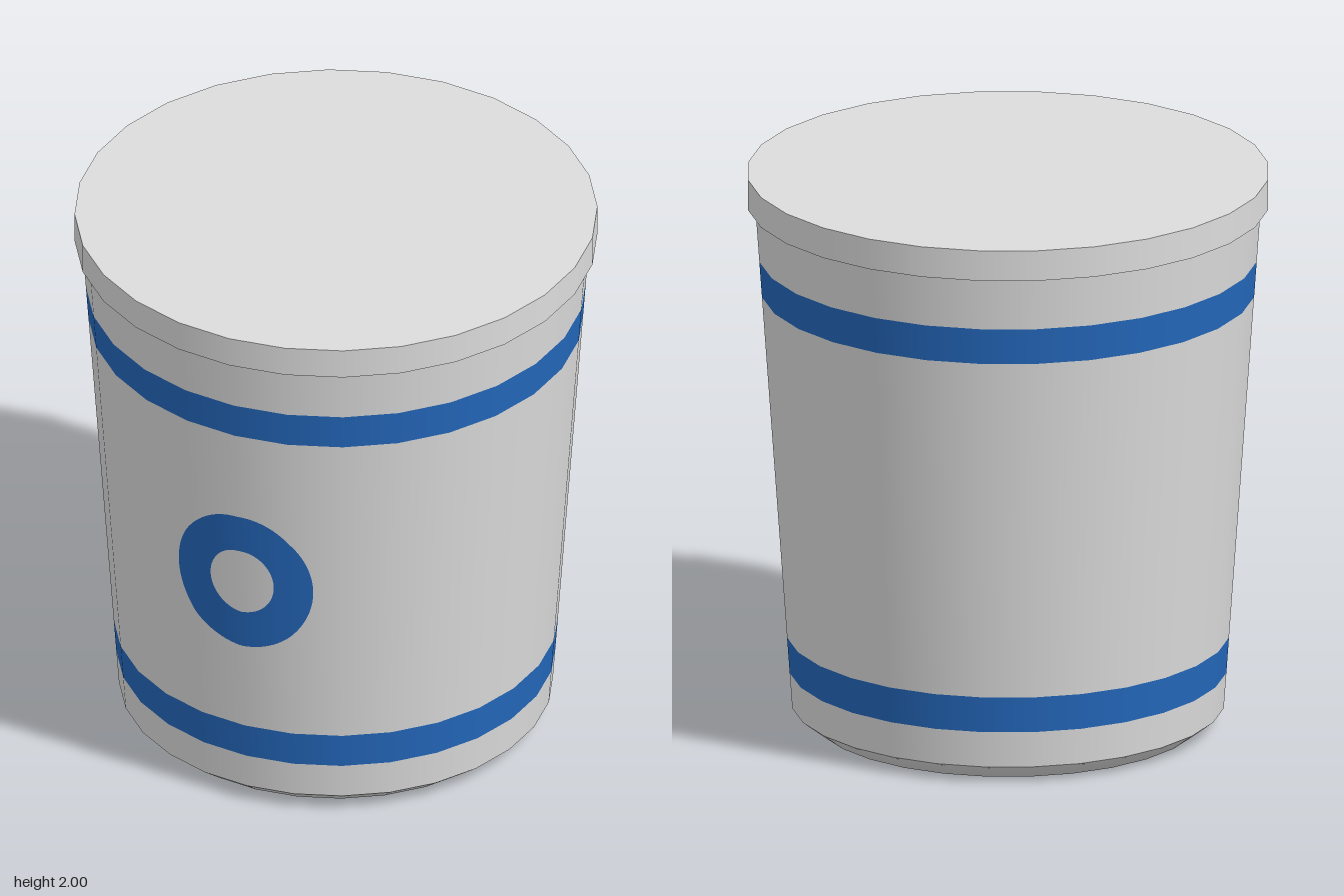
import * as THREE from 'three';

const SIDES = 28;
const Y0 = 0.06, Y1 = 1.89, R0 = 0.757, R1 = 0.886;

// Radius of the tapered wall at a height
const wallRadius = (y) => R0 + ((R1 - R0) * (y - Y0)) / (Y1 - Y0);

// Depth of the faceted wall at the front for a given x and y
function wallDepth(x, y) {
  const step = (2 * Math.PI) / SIDES;
  const r = wallRadius(y);
  const i = Math.floor(Math.asin(x / r) / step);
  const a = i * step, b = a + step;
  const t = (x / r - Math.sin(a)) / (Math.sin(b) - Math.sin(a));
  return r * (Math.cos(a) + (Math.cos(b) - Math.cos(a)) * t);
}

export function createModel() {
  const grey = new THREE.MeshStandardMaterial({ color: 0xdcdcdc });
  grey.name = 'light grey';
  const blue = new THREE.MeshStandardMaterial({ color: 0x2468bc });
  blue.name = 'blue';

  const model = new THREE.Group();
  model.name = 'lidded tub';
  const add = (name, geometry, material) => {
    const mesh = new THREE.Mesh(geometry, material);
    mesh.name = name;
    model.add(mesh);
    return mesh;
  };
  const lathe = (points) =>
    new THREE.LatheGeometry(points.map(([r, y]) => new THREE.Vector2(r, y)), SIDES);

  // Base with bevelled rim
  add('base', lathe([[0, 0], [0.68, 0], [R0, Y0]]), grey);

  // Tapered wall, split into plain sections and painted bands
  const sections = [
    ['lowerWall', 0.06, 0.19, grey],
    ['lowerBand', 0.19, 0.32, blue],
    ['middleWall', 0.32, 1.57, grey],
    ['upperBand', 1.57, 1.7, blue],
    ['upperWall', 1.7, 1.89, grey],
  ];
  for (const [name, a, b, material] of sections) {
    add(name, lathe([[wallRadius(a), a], [wallRadius(b), b]]), material);
  }

  // Overhanging lid
  add('lid', new THREE.CylinderGeometry(0.912, 0.912, 0.11, SIDES), grey).position.y = 1.945;

  // Painted oval ring, wrapped onto the front of the wall
  const ring = new THREE.RingGeometry(0.47, 1, 96, 10);
  const pos = ring.attributes.position, normal = ring.attributes.normal;
  for (let i = 0; i < pos.count; i++) {
    const x = 0.004 + pos.getX(i) * 0.256;
    const y = 0.944 + pos.getY(i) * 0.278;
    pos.setXYZ(i, x, y, wallDepth(x, y) + 0.003);
    const n = new THREE.Vector3(x / wallRadius(y), -0.07, Math.sqrt(1 - (x / wallRadius(y)) ** 2)).normalize();
    normal.setXYZ(i, n.x, n.y, n.z);
  }
  add('frontRing', ring, blue);

  return model;
}
